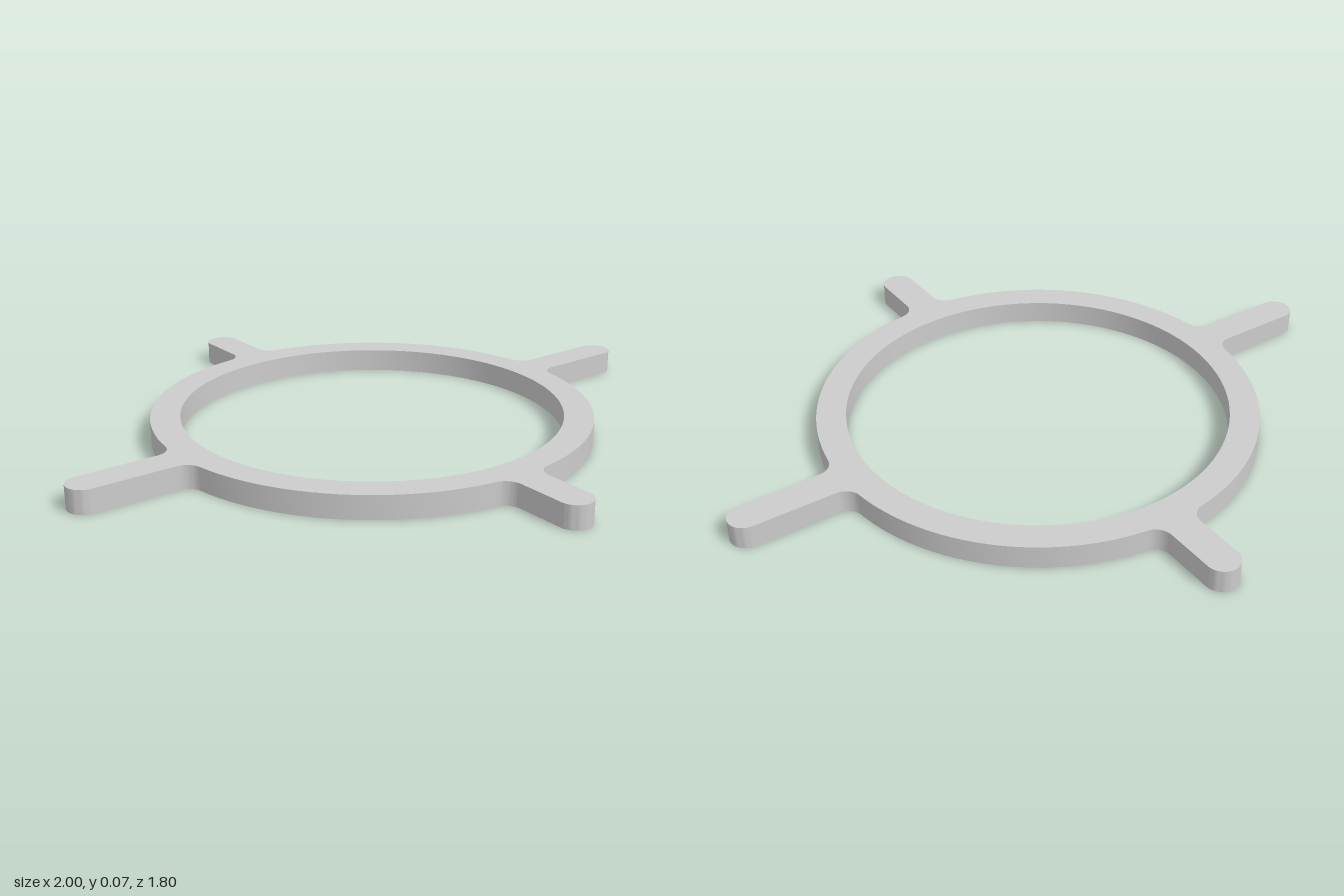
import * as THREE from 'three';
import { toCreasedNormals } from 'three/addons/utils/BufferGeometryUtils.js';

const OUTER = 0.66, INNER = 0.572, HALF_WIDTH = 0.05, FILLET = 0.05, HEIGHT = 0.07;

export function createModel() {
  const group = new THREE.Group();
  group.name = 'fourArmRing';

  // Fillet centre, measured along and across an arm
  const across = HALF_WIDTH + FILLET;
  const along = Math.sqrt((OUTER + FILLET) ** 2 - across ** 2);
  const phi = Math.asin(across / (OUTER + FILLET));

  // Outline: for each arm a fillet, rounded tip, fillet, then the ring arc to the next arm
  const outline = new THREE.Shape();
  const hole = new THREE.Path();
  for (let i = 0; i < 4; i++) {
    const turn = i * Math.PI / 2;
    const reach = i % 2 === 0 ? 1 : 0.9;
    const arc = (x, y, r, from, to, clockwise) => outline.absarc(
      x * Math.cos(turn) - y * Math.sin(turn),
      x * Math.sin(turn) + y * Math.cos(turn),
      r, from + turn, to + turn, clockwise);
    arc(along, -across, FILLET, Math.PI - phi, Math.PI / 2, true);
    arc(reach - HALF_WIDTH, 0, HALF_WIDTH, -Math.PI / 2, Math.PI / 2, false);
    arc(along, across, FILLET, -Math.PI / 2, phi - Math.PI, true);
    arc(0, 0, OUTER, phi, Math.PI / 2 - phi, false);
    hole.absarc(0, 0, INNER, turn, turn + Math.PI / 2, false);
  }
  outline.holes.push(hole);

  // Flat plate, laid down on the ground plane
  const plate = new THREE.ExtrudeGeometry(outline, { depth: HEIGHT, bevelEnabled: false, curveSegments: 12 });
  plate.rotateX(-Math.PI / 2);
  const ring = new THREE.Mesh(
    toCreasedNormals(plate, 0.6),
    new THREE.MeshStandardMaterial({ color: 0xcccccc }));
  ring.name = 'ringWithArms';
  group.add(ring);
  return group;
}
